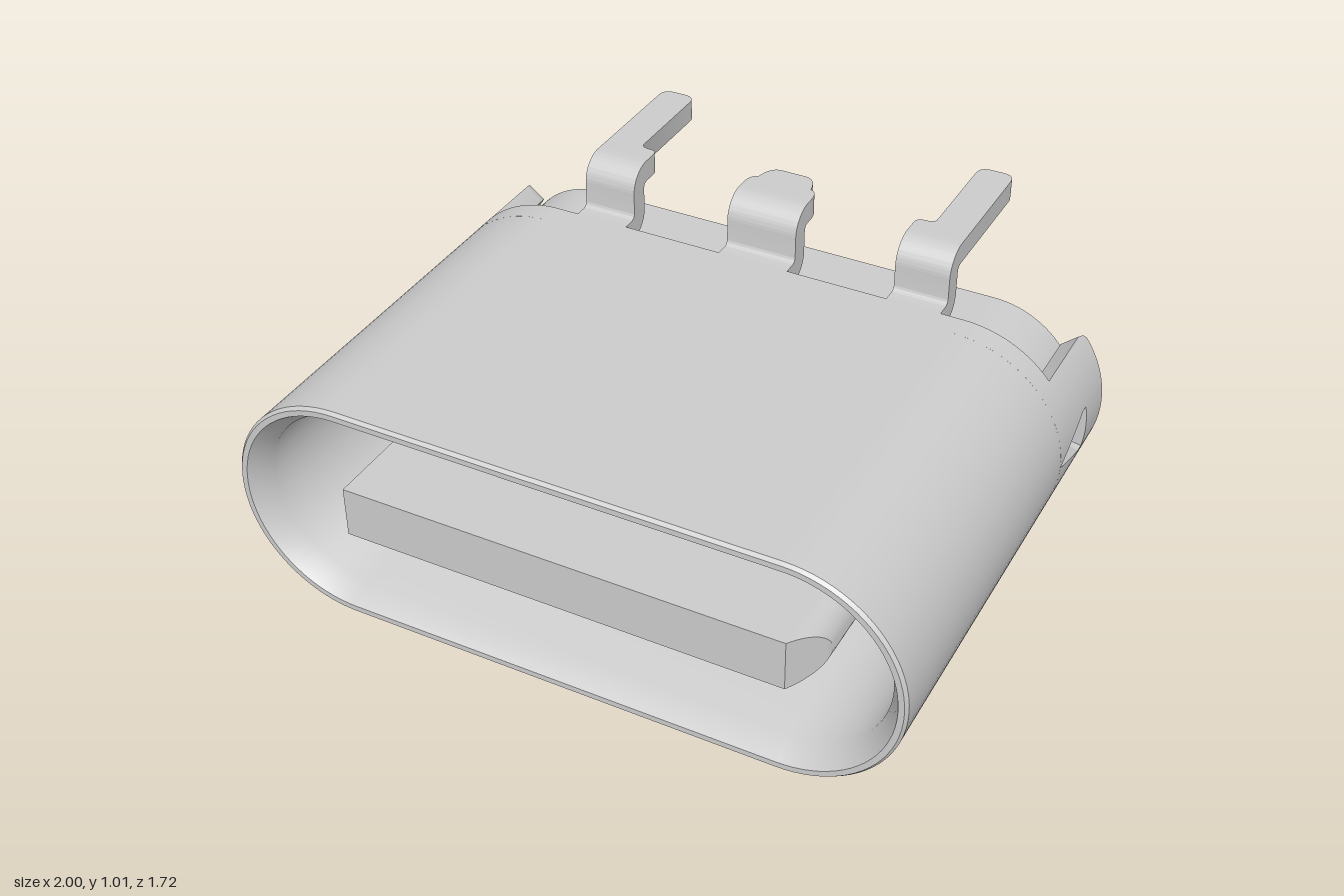
import * as THREE from 'three';
import { toCreasedNormals } from 'three/addons/utils/BufferGeometryUtils.js';

const CY = 0.507, CX = 0.652, R = 0.348, RI = 0.283; // shell centre, arc centres, outer and inner radius
const HALF = Math.PI / 2;
const mat = new THREE.MeshStandardMaterial({ color: 0xcccccc });

function add(parent, name, geo, x = 0, y = 0, z = 0) {
  const m = new THREE.Mesh(toCreasedNormals(geo, 0.6), mat);
  m.name = name;
  m.position.set(x, y, z);
  parent.add(m);
  return m;
}

// Points around the stadium: [arc centre x, angle]
function arc(cx, a0, a1, n) {
  return Array.from({ length: n + 1 }, (_, i) => [cx, a0 + (a1 - a0) * i / n]);
}

// Sweep a closed (radius, z) profile along stadium stations
function sweep(stations, profile, closed) {
  const pos = [];
  const loops = stations.map(([cx, a]) => profile(a).map(([r, z]) =>
    [cx + r * Math.cos(a), CY + r * Math.sin(a), z]));
  const quad = (a, b, c, d) => pos.push(...a, ...b, ...c, ...a, ...c, ...d);
  const n = loops.length, m = loops[0].length;
  for (let i = 0; i < (closed ? n : n - 1); i++) {
    const p = loops[i], q = loops[(i + 1) % n];
    for (let j = 0; j < m; j++) {
      const k = (j + 1) % m;
      quad(p[j], q[j], q[k], p[k]);
    }
  }
  if (!closed) {
    quad(...loops[0]);
    quad(...[...loops[n - 1]].reverse());
  }
  const g = new THREE.BufferGeometry();
  g.setAttribute('position', new THREE.Float32BufferAttribute(pos, 3));
  g.computeVertexNormals();
  return g;
}

// Curved piece of shell wall between two z limits
const panel = (stations, back, front) => sweep(stations, a => {
  const b = back(a), f = front(a);
  return [[R, b], [R, f], [RI, f], [RI, b]];
}, false);

function stadium(halfW, r) {
  const s = new THREE.Shape(), c = halfW - r;
  s.absarc(c, 0, r, -HALF, HALF);
  s.absarc(-c, 0, r, HALF, 3 * HALF);
  return s;
}

const extrude = (shape, depth) =>
  new THREE.ExtrudeGeometry(shape, { depth, bevelEnabled: false, curveSegments: 24 });

function makeShell() {
  const g = new THREE.Group();
  g.name = 'shell';
  // Front sleeve with a lead-in chamfer at the mouth
  const around = [...arc(CX, -HALF, HALF, 40), ...arc(-CX, HALF, 3 * HALF, 40)];
  add(g, 'sleeve', sweep(around, () => [[R, -0.235], [R, 0.85], [R - 0.008, 0.86],
    [R - 0.025, 0.86], [RI, 0.79], [RI, -0.235]], true));

  const aFlap = Math.asin(0.225 / R), aHole = Math.asin(0.07 / R);
  for (const [cx, turn] of [[CX, 0], [-CX, Math.PI]]) {
    const dev = a => Math.abs(a - turn);
    // Flap end with rounded corners
    const end = a => {
      const t = Math.max(0, (dev(a) - aFlap + 0.1) / 0.1);
      return -0.59 + 0.035 * (1 - Math.sqrt(Math.max(0, 1 - t * t)));
    };
    const start = () => -0.235;
    // Side flap around a triangular window
    const holeFront = a => -0.238 - 0.19 * Math.min(1, Math.abs(R * Math.sin(a)) / 0.07);
    add(g, 'sideFlap', panel(arc(cx, turn - aFlap, turn - aHole, 16), end, start));
    add(g, 'sideFlap', panel(arc(cx, turn + aHole, turn + aFlap, 16), end, start));
    add(g, 'windowFront', panel(arc(cx, turn - aHole, turn + aHole, 16), holeFront, start));
    add(g, 'windowBack', panel(arc(cx, turn - aHole, turn + aHole, 16), end, () => -0.452));
    // Rear edge of the top and bottom walls
    add(g, 'rearEdge', panel([...arc(cx, turn + aFlap, turn + HALF, 20),
      ...arc(-cx, turn + HALF, turn + Math.PI - aFlap, 20)], () => -0.31, start));
  }
  return g;
}

// Double-bent neck joining a tab to the shell
function neck(width) {
  const s = new THREE.Shape();
  s.moveTo(0.31, 0.79);
  s.lineTo(0.36, 0.79);
  s.absarc(0.36, 0.855, 0.065, -HALF, 0);
  s.lineTo(0.425, 0.925);
  s.quadraticCurveTo(0.425, 0.945, 0.445, 0.945);
  s.lineTo(0.46, 0.945);
  s.lineTo(0.46, 1.012);
  s.lineTo(0.44, 1.012);
  s.absarc(0.44, 0.935, 0.077, HALF, Math.PI);
  s.lineTo(0.363, 0.875);
  s.quadraticCurveTo(0.363, 0.855, 0.343, 0.855);
  s.lineTo(0.31, 0.855);
  return extrude(s, width).rotateY(HALF);
}

const flat = shape => extrude(shape, 0.067).rotateX(-HALF);

function makeTabs() {
  const g = new THREE.Group();
  g.name = 'tabs';
  for (const side of [1, -1]) {
    add(g, 'tabNeck', neck(0.165), side * 0.5025 - 0.0825);
    // Long leg, stepped on its inner edge and rounded at the tip
    const pts = (x, z) => [side * x, z];
    const s = new THREE.Shape();
    s.moveTo(...pts(0.42, 0.46));
    s.lineTo(...pts(0.585, 0.46));
    s.lineTo(...pts(0.585, 0.825));
    s.quadraticCurveTo(...pts(0.585, 0.863), ...pts(0.547, 0.863));
    s.lineTo(...pts(0.513, 0.863));
    s.quadraticCurveTo(...pts(0.475, 0.863), ...pts(0.475, 0.825));
    s.lineTo(...pts(0.475, 0.53));
    s.quadraticCurveTo(...pts(0.475, 0.51), ...pts(0.445, 0.51));
    s.quadraticCurveTo(...pts(0.42, 0.51), ...pts(0.42, 0.485));
    add(g, 'tabLeg', flat(s), 0, 0.945);
  }
  // Short centre tab with a narrowed tip
  add(g, 'centreTabNeck', neck(0.22), -0.11);
  const c = new THREE.Shape();
  c.moveTo(-0.11, 0.46);
  c.lineTo(0.11, 0.46);
  c.quadraticCurveTo(0.11, 0.51, 0.085, 0.515);
  c.quadraticCurveTo(0.075, 0.575, 0.04, 0.577);
  c.lineTo(-0.04, 0.577);
  c.quadraticCurveTo(-0.075, 0.575, -0.085, 0.515);
  c.quadraticCurveTo(-0.11, 0.51, -0.11, 0.46);
  add(g, 'centreTabTip', flat(c), 0, 0.945);
  return g;
}

function makeCore() {
  const g = new THREE.Group();
  g.name = 'core';
  add(g, 'housing', extrude(stadium(0.925, 0.273), 0.315), 0, CY, -0.565);
  add(g, 'tongueBase', extrude(stadium(0.785, 0.122), 0.35), 0, CY, -0.25);

  // Tongue with slanted round ends
  const front = 0.84, back = -0.25, half = 0.6625, r = 0.0775;
  add(g, 'tongue', new THREE.BoxGeometry(half * 2, r * 2, front - back), 0, CY, (front + back) / 2);
  for (const side of [1, -1]) {
    const s = new THREE.Shape();
    s.absarc(0, 0, r, side * HALF - Math.PI * (side > 0 ? 1 : 0), side * HALF + Math.PI * (side > 0 ? 0 : 1));
    const geo = extrude(s, front - back), p = geo.attributes.position;
    for (let i = 0; i < p.count; i++)
      if (p.getZ(i) > 0.5) p.setZ(i, p.getZ(i) - Math.abs(p.getX(i)) * 1.5);
    geo.computeVertexNormals();
    add(g, 'tongueEnd', geo, side * half, CY, back);

    // Rounded locating peg
    const peg = [new THREE.Vector2(0.054, 0), new THREE.Vector2(0.054, 0.125)];
    for (let i = 1; i <= 8; i++) {
      const a = HALF * i / 8;
      peg.push(new THREE.Vector2(0.014 + 0.04 * Math.cos(a), 0.125 + 0.04 * Math.sin(a)));
    }
    peg.push(new THREE.Vector2(0, 0.165));
    add(g, 'peg', new THREE.LatheGeometry(peg, 32).rotateX(-HALF), side * 0.83, CY, -0.565);
  }

  // Two rows of contact ends on the back
  for (const dy of [-0.11, 0.11])
    for (let i = 0; i < 12; i++)
      add(g, 'contact', new THREE.BoxGeometry(0.042, 0.14, 0.04), (i - 5.5) * 0.112, CY + dy, -0.567);
  return g;
}

export function createModel() {
  const model = new THREE.Group();
  model.name = 'connectorSocket';
  model.add(makeShell(), makeCore(), makeTabs());
  // Lower tabs repeat the upper ones, turned over about the centre line
  const lower = makeTabs();
  lower.name = 'lowerTabs';
  lower.rotation.z = Math.PI;
  lower.position.y = 2 * CY;
  model.add(lower);
  return model;
}
